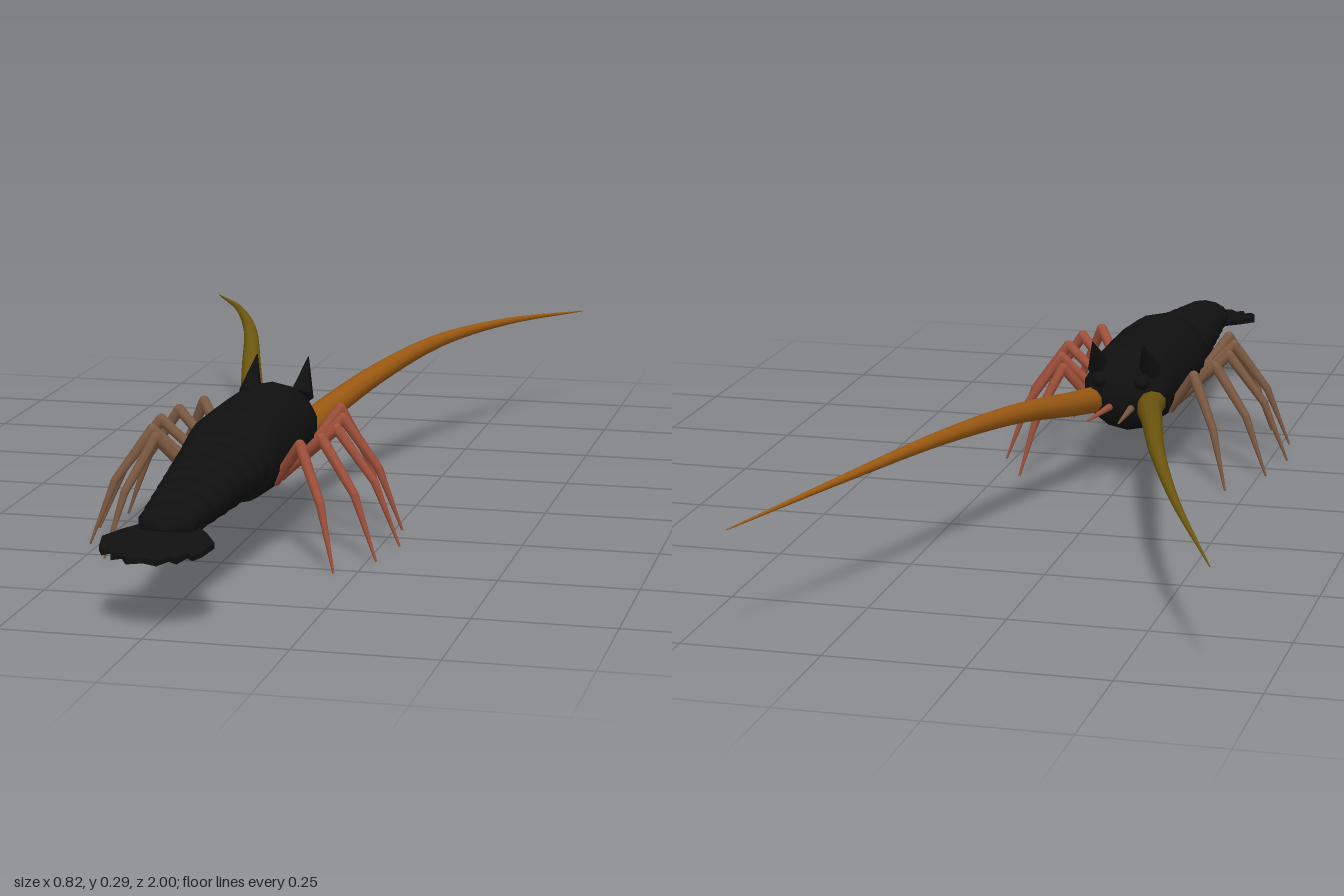
import * as THREE from 'three';

const flat = (name, color) => {
  const m = new THREE.MeshStandardMaterial({ color });
  m.name = name;
  return m;
};
const V = (p) => new THREE.Vector3(...p);

// Shell along z from rows of [z, half width, top y, bottom y], tail end first
function shell(rows, sides = 14) {
  const g = new THREE.CylinderGeometry(1, 1, 1, sides, rows.length - 1, true);
  g.rotateX(Math.PI / 2);
  const pos = g.attributes.position;
  for (let i = 0; i < pos.count; i++) {
    const [z, w, top, bottom] = rows[Math.floor(i / (sides + 1))];
    pos.setXYZ(i, pos.getX(i) * w, (top + bottom) / 2 + pos.getY(i) * (top - bottom) / 2, z);
  }
  g.computeVertexNormals();
  return g;
}

// Tube whose radius shrinks from r0 to r1
function taperedTube(points, r0, r1, steps = 24, sides = 10) {
  const curve = new THREE.CatmullRomCurve3(points.map(V));
  const g = new THREE.TubeGeometry(curve, steps, 1, sides);
  const pos = g.attributes.position, v = new THREE.Vector3();
  for (let i = 0; i < pos.count; i++) {
    const t = Math.floor(i / (sides + 1)) / steps;
    const c = curve.getPointAt(t);
    v.fromBufferAttribute(pos, i).sub(c).multiplyScalar(r0 + (r1 - r0) * t).add(c);
    pos.setXYZ(i, v.x, v.y, v.z);
  }
  return g;
}

// Tapered rod between two points
function rod(a, b, ra, rb, material, name, sides = 8) {
  const p = V(a), q = V(b), d = q.clone().sub(p);
  const m = new THREE.Mesh(new THREE.CylinderGeometry(rb, ra, d.length(), sides), material);
  m.position.copy(p).add(q).multiplyScalar(0.5);
  m.quaternion.setFromUnitVectors(new THREE.Vector3(0, 1, 0), d.normalize());
  m.name = name;
  return m;
}

export function createModel() {
  const model = new THREE.Group();
  const black = flat('shell black', 0x101010);
  const sides = [
    { s: 1, label: 'left', leg: flat('brick red', 0xa0503a), feeler: flat('orange brown', 0x9c5a12) },
    { s: -1, label: 'right', leg: flat('brown', 0x7d5a42), feeler: flat('olive brown', 0x70580f) },
  ];
  const add = (name, geometry, material, parent = model) => {
    const m = new THREE.Mesh(geometry, material);
    m.name = name;
    parent.add(m);
    return m;
  };

  // Carapace
  add('carapace', shell([
    [0.49, 0, 0.175, 0.175], [0.48, 0.08, 0.235, 0.11], [0.45, 0.09, 0.255, 0.095],
    [0.40, 0.095, 0.26, 0.09], [0.30, 0.096, 0.26, 0.09], [0.19, 0.094, 0.26, 0.09],
    [0.13, 0.088, 0.255, 0.095], [0.09, 0.075, 0.24, 0.115], [0.07, 0.058, 0.225, 0.13],
    [0.066, 0, 0.18, 0.18],
  ]), black);

  // Abdomen: overlapping rings that shrink towards the tail
  const rows = [[0.865, 0, 0.15, 0.15]], count = 7;
  for (let i = count - 1; i >= 0; i--) {
    const z = 0.465 + i * 0.056, t = i / (count - 1);
    const w = 0.086 - 0.034 * t, top = 0.235 - 0.045 * t, bottom = 0.11 + 0.012 * t;
    rows.push([z + 0.056, w - 0.005, top - 0.006, bottom + 0.006], [z + 0.042, w, top, bottom],
      [z + 0.018, w, top, bottom], [z + 0.003, w - 0.006, top - 0.007, bottom + 0.006]);
  }
  rows.push([0.46, 0, 0.17, 0.17]);
  add('abdomen', shell(rows), black);

  // Tail fan with a notched rear edge
  const half = [[0.045, 0.82], [0.075, 0.86], [0.097, 0.90], [0.088, 0.945], [0.078, 0.965],
    [0.065, 0.955], [0.056, 0.985], [0.04, 0.975], [0.026, 1.0]];
  const outline = [...half, [0, 0.99], ...half.map(([x, z]) => [-x, z]).reverse()];
  const fan = new THREE.ExtrudeGeometry(new THREE.Shape(outline.map(([x, z]) => new THREE.Vector2(x, z))),
    { depth: 0.01, bevelEnabled: false });
  fan.rotateX(Math.PI / 2);
  const fp = fan.attributes.position;
  for (let i = 0; i < fp.count; i++) fp.setY(i, fp.getY(i) + 0.15 - (fp.getZ(i) - 0.82) * 0.09);
  fan.computeVertexNormals();
  add('tail fan', fan, black);

  // Legs, front to rear: hip z, foot z, foot x
  const legs = [[0.175, 0.08, 0.207], [0.235, 0.195, 0.265], [0.303, 0.313, 0.285],
    [0.365, 0.43, 0.267], [0.405, 0.525, 0.211]];

  for (const { s, label, leg, feeler } of sides) {
    // Long antenna and short antennule
    add(label + ' antenna', taperedTube([
      [s * 0.055, 0.16, 0.11], [s * 0.075, 0.178, 0], [s * 0.127, 0.21, -0.2], [s * 0.2, 0.231, -0.47],
      [s * 0.295, 0.226, -0.74], [s * 0.41, 0.206, -1],
    ], 0.027, 0.001), feeler);
    model.add(rod([s * 0.02, 0.155, 0.09], [s * 0.031, 0.165, -0.07], 0.008, 0.002, leg, label + ' antennule'));

    // Brow horn and eye
    model.add(rod([s * 0.05, 0.225, 0.105], [s * 0.05, 0.29, 0.05], 0.023, 0.001, black, label + ' horn', 7));
    add(label + ' eye', new THREE.SphereGeometry(0.016, 10, 8), black).position.set(s * 0.042, 0.21, 0.073);

    legs.forEach(([hz, fz, fx], i) => {
      const g = new THREE.Group();
      g.name = `${label} leg ${i + 1}`;
      const at = (t, y) => [s * (0.075 + (fx - 0.075) * t), y, hz + (fz - hz) * t];
      const joints = [at(0, 0.13), at(0.43, 0.212), at(0.77, 0.118), at(1, 0)];
      const radii = [0.009, 0.0105, 0.008, 0.002];
      for (let k = 0; k < 3; k++) {
        g.add(rod(joints[k], joints[k + 1], radii[k], radii[k + 1], leg, ['thigh', 'shin', 'foot'][k]));
        if (k) add('joint', new THREE.SphereGeometry(radii[k], 8, 6), leg, g).position.set(...joints[k]);
      }
      model.add(g);
    });
  }
  return model;
}
